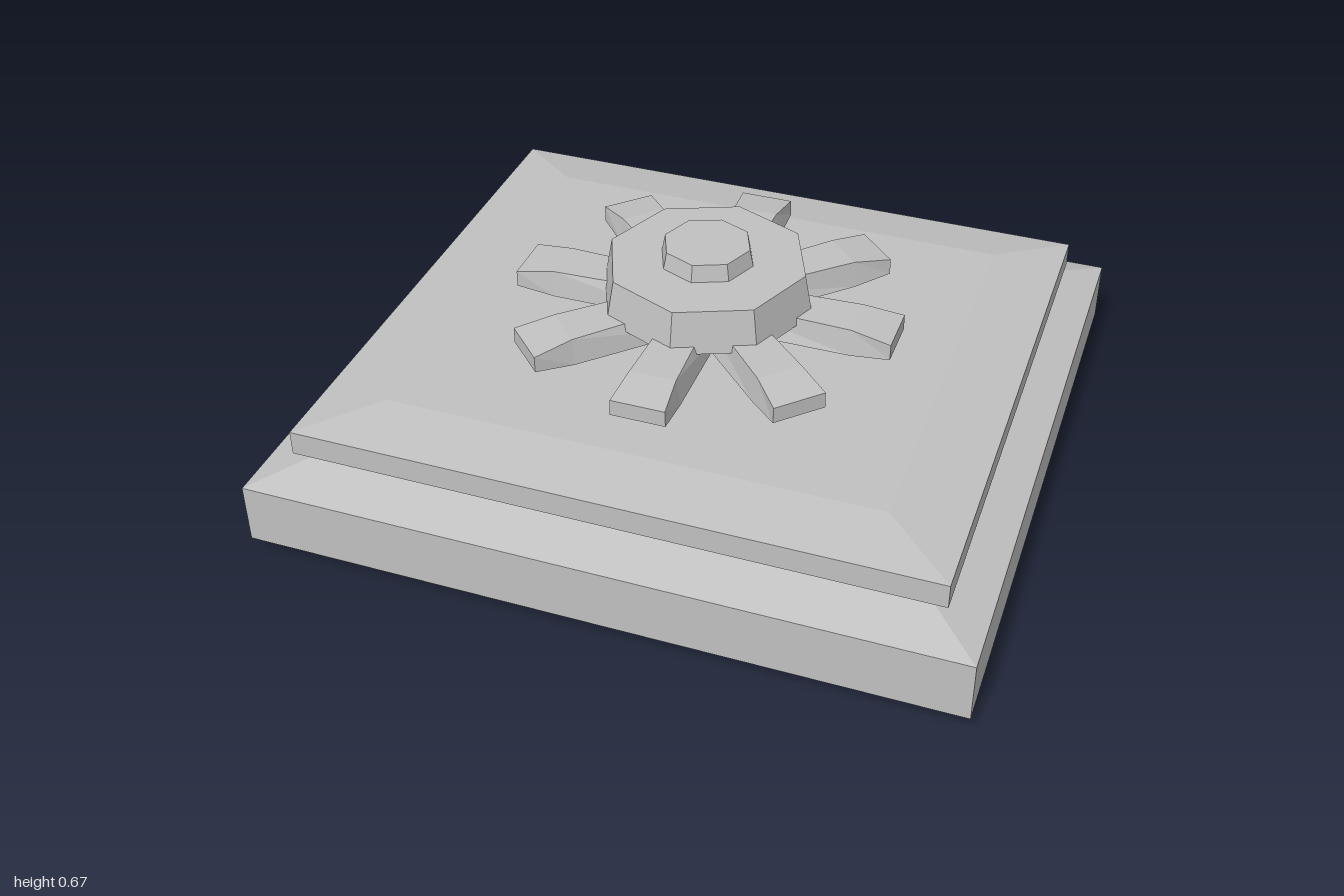
import * as THREE from 'three';

// Flat-shaded solid through a list of four-cornered sections, capped at both ends.
// Corners run counter-clockwise when seen looking back from the last section.
function loft(sections) {
  const pos = [];
  const quad = (a, b, c, d) => pos.push(...a, ...b, ...c, ...a, ...c, ...d);
  for (let i = 0; i < sections.length - 1; i++) {
    const s = sections[i], t = sections[i + 1];
    for (let k = 0; k < 4; k++) {
      const n = (k + 1) % 4;
      quad(s[k], s[n], t[n], t[k]);
    }
  }
  const first = sections[0], last = sections[sections.length - 1];
  quad(first[3], first[2], first[1], first[0]);
  quad(...last);
  const g = new THREE.BufferGeometry();
  g.setAttribute('position', new THREE.Float32BufferAttribute(pos, 3));
  g.computeVertexNormals();
  return g;
}

// Rectangle at height y with half sizes x and z
const rect = ([y, x, z]) => [[-x, y, z], [x, y, z], [x, y, -z], [-x, y, -z]];

// Spoke section at distance r: bottom and top heights and half widths
const rib = ([r, y0, w0, y1, w1]) => [[-w0, y0, r], [w0, y0, r], [w1, y1, r], [-w1, y1, r]];

export function createModel() {
  const model = new THREE.Group();
  const grey = new THREE.MeshStandardMaterial({ color: 0xc0c0c0 });
  grey.name = 'grey stone';

  const add = (parent, name, geometry) => {
    const mesh = new THREE.Mesh(geometry, grey);
    mesh.name = name;
    parent.add(mesh);
    return mesh;
  };

  // Bevelled base and the slab on top of it
  add(model, 'base', loft([
    [0, 0.82, 0.75], [0.05, 1, 0.917], [0.227, 1, 0.917], [0.28, 0.82, 0.74],
  ].map(rect)));
  add(model, 'slab', loft([
    [0.278, 0.81, 0.725], [0.289, 0.9, 0.805], [0.36, 0.9, 0.805], [0.39, 0.7, 0.625],
  ].map(rect)));

  // Floating wheel: eight spokes, hub and cap
  const wheel = new THREE.Group();
  wheel.name = 'wheel';
  model.add(wheel);
  const spokeGeometry = loft([
    [0.02, 0.435, 0.078, 0.512, 0.05],
    [0.44, 0.435, 0.078, 0.512, 0.066],
    [0.555, 0.447, 0.078, 0.495, 0.077],
  ].map(rib));
  for (let i = 0; i < 8; i++) {
    add(wheel, 'spoke', spokeGeometry).rotation.y = i * Math.PI / 4;
  }

  const octagon = (name, top, bottom, y0, y1) => {
    const g = new THREE.CylinderGeometry(top, bottom, y1 - y0, 8).toNonIndexed();
    g.computeVertexNormals();
    add(wheel, name, g).position.y = (y0 + y1) / 2;
  };
  octagon('hub', 0.287, 0.31, 0.49, 0.615);
  octagon('cap', 0.125, 0.136, 0.61, 0.665);

  return model;
}
